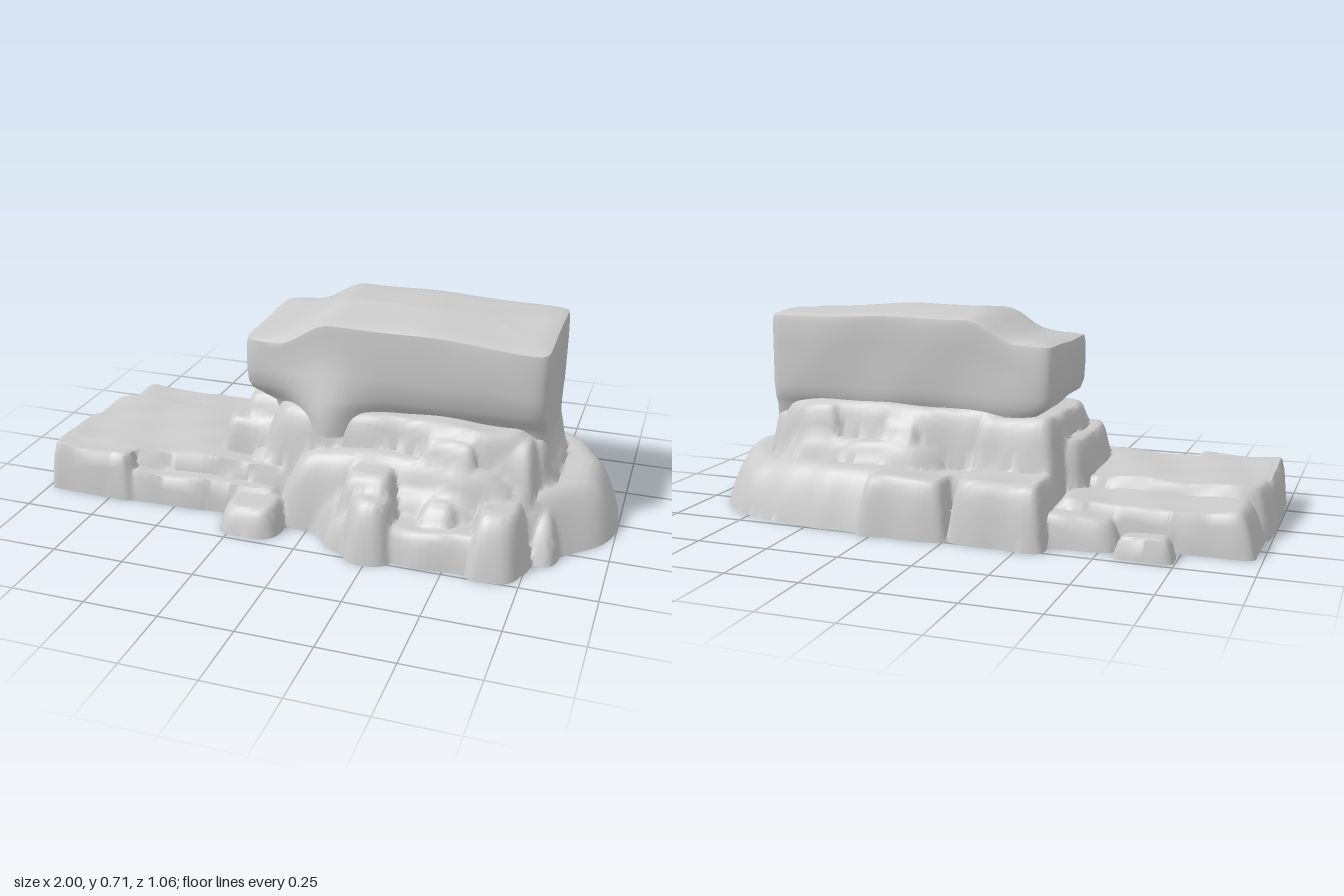
import * as THREE from 'three';
import { toCreasedNormals } from 'three/addons/utils/BufferGeometryUtils.js';

const stone = new THREE.MeshStandardMaterial({ color: 0xcccccc, side: THREE.DoubleSide });
const { clamp, lerp, smoothstep } = THREE.MathUtils;

// smooth deterministic bumps
const bump = (x, y, z) =>
  0.5 * Math.sin(9 * x + 5 * y + 1.3) * Math.cos(11 * z - 4 * y + 0.4) +
  0.3 * Math.sin(21 * x - 8 * z + 13 * y) + 0.2 * Math.sin(33 * z + 17 * x - 9 * y + 2);

function makeMesh(name, positions, index, crease) {
  const geo = new THREE.BufferGeometry();
  geo.setAttribute('position', new THREE.Float32BufferAttribute(positions, 3));
  geo.setIndex(index);
  const mesh = new THREE.Mesh(toCreasedNormals(geo, crease), stone);
  mesh.name = name;
  return mesh;
}

// stones of the ground: x0, x1, z0, z1, top height, squareness, wall slope
const platformStones = [
  [-0.995, -0.05, -0.155, 0.3, 0.172, 16, 12],
  [-0.995, -0.66, 0, 0.37, 0.168, 12, 11],
  [-0.72, -0.1, 0.15, 0.355, 0.11, 12, 9],
  [-0.98, -0.3, -0.36, -0.1, 0.135, 14, 9],
  [-0.56, -0.2, -0.44, -0.2, 0.1, 5, 5],
  [-0.745, -0.555, -0.485, -0.38, 0.07, 6, 7],
  [-0.29, -0.09, 0.25, 0.48, 0.095, 4, 4],
];
const moundStones = [
  // skirt and front boulders
  [-0.29, 0.995, -0.5, 0.42, 0.195, 2.3, 3.2],
  [0.08, 0.76, 0.1, 0.485, 0.12, 6, 5],
  [0.14, 0.35, 0.2, 0.525, 0.195, 3, 6],
  [0.11, 0.34, 0.1, 0.45, 0.25, 5, 8],
  [0.36, 0.54, 0.15, 0.46, 0.18, 4, 5],
  [0.55, 0.75, 0.15, 0.505, 0.2, 4, 6],
  [0.72, 0.85, 0.1, 0.36, 0.16, 3, 4],
  // front and right ledges
  [-0.3, 0.1, 0, 0.29, 0.21, 5, 6],
  [-0.15, 0.77, -0.1, 0.37, 0.28, 8, 5],
  [0.33, 0.59, 0, 0.335, 0.35, 7, 9],
  [0.57, 0.765, 0, 0.31, 0.365, 7, 9],
  [0.4, 0.84, -0.3, 0.26, 0.245, 5, 5],
  [0.4, 0.79, -0.28, 0.22, 0.35, 8, 12],
  // left ledges
  [-0.4, 0, -0.23, 0.23, 0.295, 8, 10],
  [-0.34, 0, -0.34, 0.21, 0.375, 8, 12],
  // blocks along the back
  [-0.34, 0.005, -0.51, -0.1, 0.205, 12, 8],
  [-0.005, 0.31, -0.525, -0.1, 0.195, 10, 8],
  [0, 0.77, -0.38, 0, 0.27, 6, 6],
  [0.14, 0.34, -0.345, 0, 0.345, 8, 12],
  [0.43, 0.66, -0.345, 0, 0.375, 8, 12],
  // core below the upper block
  [-0.25, 0.785, -0.315, 0.285, 0.39, 10, 9],
];
const stones = [...platformStones, ...moundStones];

// height of one stone: steep walls rounding over to a flat top, negative outside
function stoneHeight([x0, x1, z0, z1, top, n, slope], x, z) {
  const hx = (x1 - x0) / 2, hz = (z1 - z0) / 2;
  const q = (Math.abs(x - x0 - hx) / hx) ** n + (Math.abs(z - z0 - hz) / hz) ** n;
  const inside = (1 - q ** (1 / n)) * Math.min(hx, hz);
  if (inside <= 0) return inside * slope * 1.4;
  return top * (1 - (1 - clamp(inside * slope / top / 1.8, 0, 1)) ** 2.5);
}

// uneven outlines, rougher on the mound than on the platform
function groundHeight(x, z) {
  const w = lerp(0.007, 0.016, smoothstep(x, -0.5, -0.2));
  const wx = x + w * bump(x, 0.3, z), wz = z + w * bump(z, 0.8, x);
  const h = Math.max(...stones.map(s => stoneHeight(s, wx, wz)));
  return h + 0.011 * bump(x, 0, z) * clamp(h / 0.12, 0, 1);
}

// one hollow rock shell over all ground stones, open below the upper block
function ground() {
  const step = 0.01, nx = 204, nz = 110, pos = [], heights = [], index = [];
  for (let j = 0; j <= nz; j++) for (let i = 0; i <= nx; i++) {
    let x = (i - nx / 2) * step, z = (j - nz / 2) * step;
    const h = groundHeight(x, z);
    if (h < 0 && h > -0.3) {
      // draw the outermost vertices in to the foot of the wall
      const e = 0.002;
      const gx = (groundHeight(x + e, z) - groundHeight(x - e, z)) / (2 * e);
      const gz = (groundHeight(x, z + e) - groundHeight(x, z - e)) / (2 * e);
      const g = Math.hypot(gx, gz) + 1e-6, move = Math.min(-h / g, 0.014);
      x += gx / g * move;
      z += gz / g * move;
    }
    heights.push(h);
    pos.push(x, Math.max(h, 0), z);
  }
  const inHole = v => pos[v * 3] > -0.17 && pos[v * 3] < 0.72 && pos[v * 3 + 2] > -0.2 && pos[v * 3 + 2] < 0.12;
  for (let j = 0; j < nz; j++) for (let i = 0; i < nx; i++) {
    const a = j * (nx + 1) + i, c = a + nx + 1, cell = [a, a + 1, c, c + 1];
    if (cell.every(v => heights[v] <= 0) || cell.every(inHole)) continue;
    index.push(a, c, a + 1, a + 1, c, c + 1);
  }
  return makeMesh('rockyGround', pos, index, 0.9);
}

// point on a rounded rectangle; t = 0..1 walks back, right, front, left
function rectPoint(t, [x0, x1, z0, z1], n) {
  const s = (t * 4) % 4, f = (s % 1) * 2 - 1;
  const [px, pz] = [[f, -1], [1, f], [-f, 1], [-1, -f]][Math.floor(s)];
  const r = (Math.abs(px) ** n + Math.abs(pz) ** n) ** (1 / n);
  return [(x0 + x1) / 2 + (px / r) * (x1 - x0) / 2, (z0 + z1) / 2 + (pz / r) * (z1 - z0) / 2];
}

// big block: undercut at the left and front, sloping top, stepped down at the left end
function upperBlock() {
  const n = 128, rings = [
    [0.31, -0.19, 0.755, -0.225, 0.14], [0.365, -0.2, 0.755, -0.23, 0.145], [0.385, -0.235, 0.755, -0.24, 0.16],
    [0.41, -0.275, 0.755, -0.248, 0.178], [0.44, -0.283, 0.757, -0.25, 0.198], [0.52, -0.285, 0.757, -0.25, 0.205],
    [0.6, -0.285, 0.757, -0.25, 0.205], [0.67, -0.283, 0.756, -0.25, 0.203], [0.69, -0.28, 0.752, -0.246, 0.2]];
  const sides = rings.length;
  for (const d of [0.02, 0.06, 0.1, 0.14, 0.18, 0.205])
    rings.push([0.697 + 0.06 * d, -0.28 + 1.6 * d, 0.752 - d, -0.246 + d, 0.2 - d]);
  const pos = [], index = [];
  rings.forEach(([y, ...r], j) => {
    for (let i = 0; i < n; i++) {
      let [x, z] = rectPoint(i / n, r, 18);
      const upper = smoothstep(y, 0.44, 0.68), right = smoothstep(x, 0.3, 0.76);
      const drop = upper * (0.08 * (1 - smoothstep(x, -0.16, 0.02))
        + (0.03 + 0.05 * right) * Math.max(0, z + 0.08) + 0.012 * right);
      // pillar of stone running down the front
      if (z > 0.1) {
        const foot = 0.2 + 0.07 * (1 - smoothstep(y, 0.36, 0.64));
        if (j < sides) z = lerp(z, Math.max(z, foot), Math.exp(-(((x - 0.03) / 0.13) ** 2)));
      }
      const b = 0.008 * bump(x * 0.7, y, z * 0.7), side = j < sides ? b : 0;
      pos.push(x + side * 0.5, y - drop + b, z + side);
    }
  });
  const top = rings.length - 1;
  pos.push(0.3, 0.709, -0.024);
  for (let j = 0; j <= top; j++) for (let i = 0; i < n; i++) {
    const a = j * n + i, b = j * n + (i + 1) % n;
    if (j === top) index.push(a, (top + 1) * n, b);
    else index.push(a, a + n, b, b, a + n, b + n);
  }
  return makeMesh('upperBlock', pos, index, 0.7);
}

export function createModel() {
  const g = new THREE.Group();
  g.name = 'rockFormation';
  g.add(ground(), upperBlock());
  return g;
}
